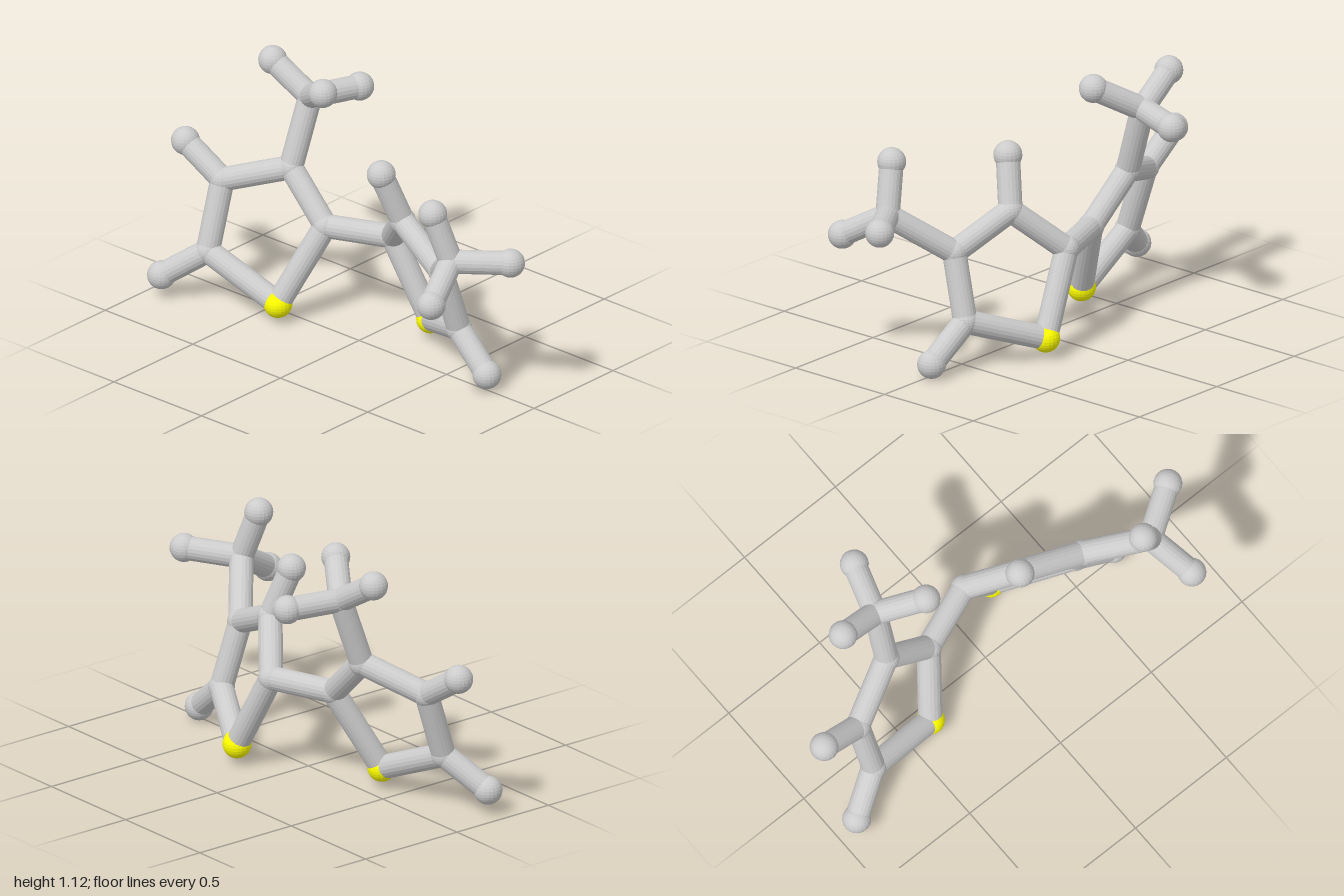
import * as THREE from 'three';

const BOND = 0.052;
const RADII = { carbon: 0.057, hydrogen: 0.062, sulfur: 0.062 };

// Ball positions of the two linked five-sided rings
const LEFT_RING = {
  sulfur: [-0.38, 0.088, 0.093],
  carbonLink: [-0.255, 0.435, -0.07],
  carbonBranch: [-0.47, 0.635, -0.09],
  carbonUpper: [-0.74, 0.54, 0.045],
  carbonLower: [-0.735, 0.24, 0.143],
  carbonMethyl: [-0.45, 0.94, -0.19],
  hydrogenUpper: [-0.938, 0.665, 0.06],
  hydrogenLower: [-0.91, 0.107, 0.243],
  hydrogenMethyl1: [-0.645, 1.058, -0.168],
  hydrogenMethyl2: [-0.27, 1.053, -0.07],
  hydrogenMethyl3: [-0.375, 0.93, -0.42],
};
const RIGHT_RING = {
  sulfur: [0.21, 0.093, -0.22],
  carbonLink: [0.03, 0.438, -0.18],
  carbonUpper: [0.22, 0.627, -0.03],
  carbonBranch: [0.505, 0.5, 0.038],
  carbonLower: [0.53, 0.213, -0.045],
  carbonMethyl: [0.725, 0.683, 0.222],
  hydrogenUpper: [0.16, 0.846, 0.037],
  hydrogenLower: [0.715, 0.064, -0.017],
  hydrogenMethyl1: [0.655, 0.897, 0.26],
  hydrogenMethyl2: [0.938, 0.694, 0.081],
  hydrogenMethyl3: [0.79, 0.568, 0.42],
};

// Bonds shared by both rings
const BRANCHES = [
  ['carbonBranch', 'carbonMethyl'],
  ['carbonUpper', 'hydrogenUpper'],
  ['carbonLower', 'hydrogenLower'],
  ['carbonMethyl', 'hydrogenMethyl1'],
  ['carbonMethyl', 'hydrogenMethyl2'],
  ['carbonMethyl', 'hydrogenMethyl3'],
];

const UP = new THREE.Vector3(0, 1, 0);

export function createModel() {
  const model = new THREE.Group();
  model.name = 'ballAndStickMolecule';
  const grey = new THREE.MeshStandardMaterial({ color: 0xcccccc, flatShading: true });
  const yellow = new THREE.MeshStandardMaterial({ color: 0xffff00, flatShading: true });

  const addBond = (parent, from, to, name) => {
    const a = new THREE.Vector3(...from);
    const b = new THREE.Vector3(...to);
    const dir = b.clone().sub(a);
    const bond = new THREE.Mesh(
      new THREE.CylinderGeometry(BOND, BOND, dir.length(), 20, 1), grey);
    bond.name = name;
    bond.position.copy(a).lerp(b, 0.5);
    bond.quaternion.setFromUnitVectors(UP, dir.normalize());
    parent.add(bond);
  };

  const addRing = (name, atoms, loop) => {
    const ring = new THREE.Group();
    ring.name = name;
    // Balls, sized and coloured by kind
    for (const [key, position] of Object.entries(atoms)) {
      const kind = Object.keys(RADII).find((k) => key.startsWith(k));
      const ball = new THREE.Mesh(
        new THREE.SphereGeometry(RADII[kind], 20, 14), kind === 'sulfur' ? yellow : grey);
      ball.name = key;
      ball.position.set(...position);
      ring.add(ball);
    }
    // Closed ring of bonds, then the side branches
    const pairs = loop.map((key, i) => [key, loop[(i + 1) % loop.length]]);
    for (const [p, q] of [...pairs, ...BRANCHES]) {
      addBond(ring, atoms[p], atoms[q], `bond ${p} to ${q}`);
    }
    model.add(ring);
  };

  addRing('leftRing', LEFT_RING,
    ['sulfur', 'carbonLink', 'carbonBranch', 'carbonUpper', 'carbonLower']);
  addRing('rightRing', RIGHT_RING,
    ['sulfur', 'carbonLink', 'carbonUpper', 'carbonBranch', 'carbonLower']);

  // Bond joining the two rings
  addBond(model, LEFT_RING.carbonLink, RIGHT_RING.carbonLink, 'linkBond');
  return model;
}
